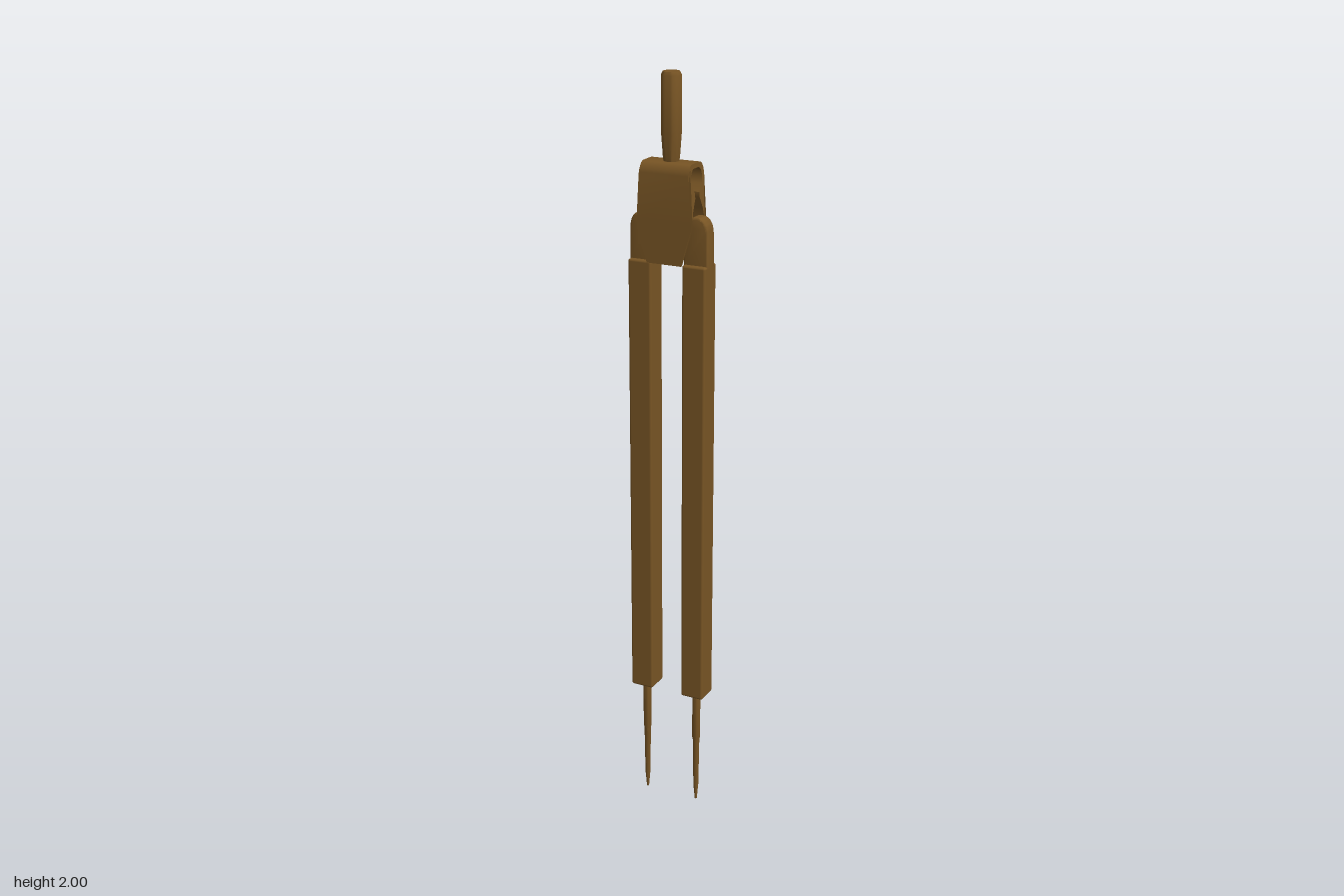
import * as THREE from 'three';
import { RoundedBoxGeometry } from 'three/addons/geometries/RoundedBoxGeometry.js';
import { toCreasedNormals } from 'three/addons/utils/BufferGeometryUtils.js';

const brown = new THREE.MeshStandardMaterial({ color: 0x775424 });
brown.name = 'brown';

function part(name, geometry, x = 0, y = 0, z = 0) {
  const mesh = new THREE.Mesh(geometry, brown);
  mesh.name = name;
  mesh.position.set(x, y, z);
  return mesh;
}

function lathe(points, segments) {
  const geometry = new THREE.LatheGeometry(points.map(([r, y]) => new THREE.Vector2(r, y)), segments);
  return toCreasedNormals(geometry, 0.6);
}

// Half width of the bracket at a given height
function bracketHalfWidth(y) {
  if (y > 1.63) return THREE.MathUtils.mapLinear(y, 1.63, 1.785, 0.075, 0.066);
  return THREE.MathUtils.mapLinear(y, 1.535, 1.63, 0.047, 0.075);
}

// Folded bracket: a U section with inward ridges, drawn across x and tapered by height
function bracketGeometry() {
  const outer = [[0.043, 1.535], [0.043, 1.63], [0.043, 1.75]];
  for (let i = 1; i < 6; i++) {
    const a = (i / 6) * Math.PI / 2;
    outer.push([0.021 + 0.022 * Math.cos(a), 1.75 + 0.035 * Math.sin(a)]);
  }
  outer.push([0.021, 1.785]);
  const inner = [[0.016, 1.773], [0.027, 1.764], [0.031, 1.75], [0.027, 1.732], [0.012, 1.712],
    [0.012, 1.7], [0.027, 1.67], [0.033, 1.645], [0.034, 1.63], [0.036, 1.535]];
  const mirror = (list) => list.map(([z, y]) => [-z, y]).reverse();
  const loop = [...outer, ...mirror(outer), ...mirror(inner), ...inner];
  const shape = new THREE.Shape(loop.map(([z, y]) => new THREE.Vector2(z, y)));
  const geometry = new THREE.ExtrudeGeometry(shape, { depth: 2, bevelEnabled: false });
  geometry.translate(0, 0, -1).rotateY(Math.PI / 2);
  const p = geometry.attributes.position;
  for (let i = 0; i < p.count; i++) p.setX(i, p.getX(i) * bracketHalfWidth(p.getY(i)));
  return toCreasedNormals(geometry, 0.6);
}

// Round-topped tongue that runs from the leg up into the bracket
function tongueGeometry() {
  const s = new THREE.Shape();
  s.moveTo(-0.028, 0);
  s.lineTo(0.028, 0);
  s.lineTo(0.027, 0.08);
  s.quadraticCurveTo(0.025, 0.114, 0, 0.115);
  s.quadraticCurveTo(-0.025, 0.114, -0.027, 0.08);
  const geometry = new THREE.ExtrudeGeometry(s, {
    depth: 0.03, bevelSize: 0.005, bevelThickness: 0.005, bevelSegments: 3, curveSegments: 10,
  });
  return toCreasedNormals(geometry.translate(0, 0, -0.015), 0.6);
}

export function createModel() {
  const model = new THREE.Group();
  model.name = 'drawingCompass';

  // Grip and bracket
  model.add(part('grip', lathe([
    [0, 1.775], [0.018, 1.775], [0.021, 1.795], [0.025, 1.85], [0.025, 1.992], [0.021, 2], [0, 2],
  ], 32)));
  model.add(part('bracket', bracketGeometry()));

  // Legs with tongue and needle
  for (const [side, sign] of [['left', 1], ['right', -1]]) {
    const leg = new THREE.Group();
    leg.name = side + 'Leg';
    leg.position.set(sign * 0.075, 0, -0.002);
    leg.add(part('legBar', new RoundedBoxGeometry(0.064, 1.2, 0.065, 3, 0.006), 0, 0.935));
    leg.add(part('tongue', tongueGeometry(), 0, 1.535));
    leg.add(part('needle', lathe([
      [0, 0], [0.003, 0.003], [0.007, 0.05], [0.009, 0.19], [0.011, 0.2], [0.011, 0.345], [0, 0.345],
    ], 20)));
    model.add(leg);
  }
  return model;
}
